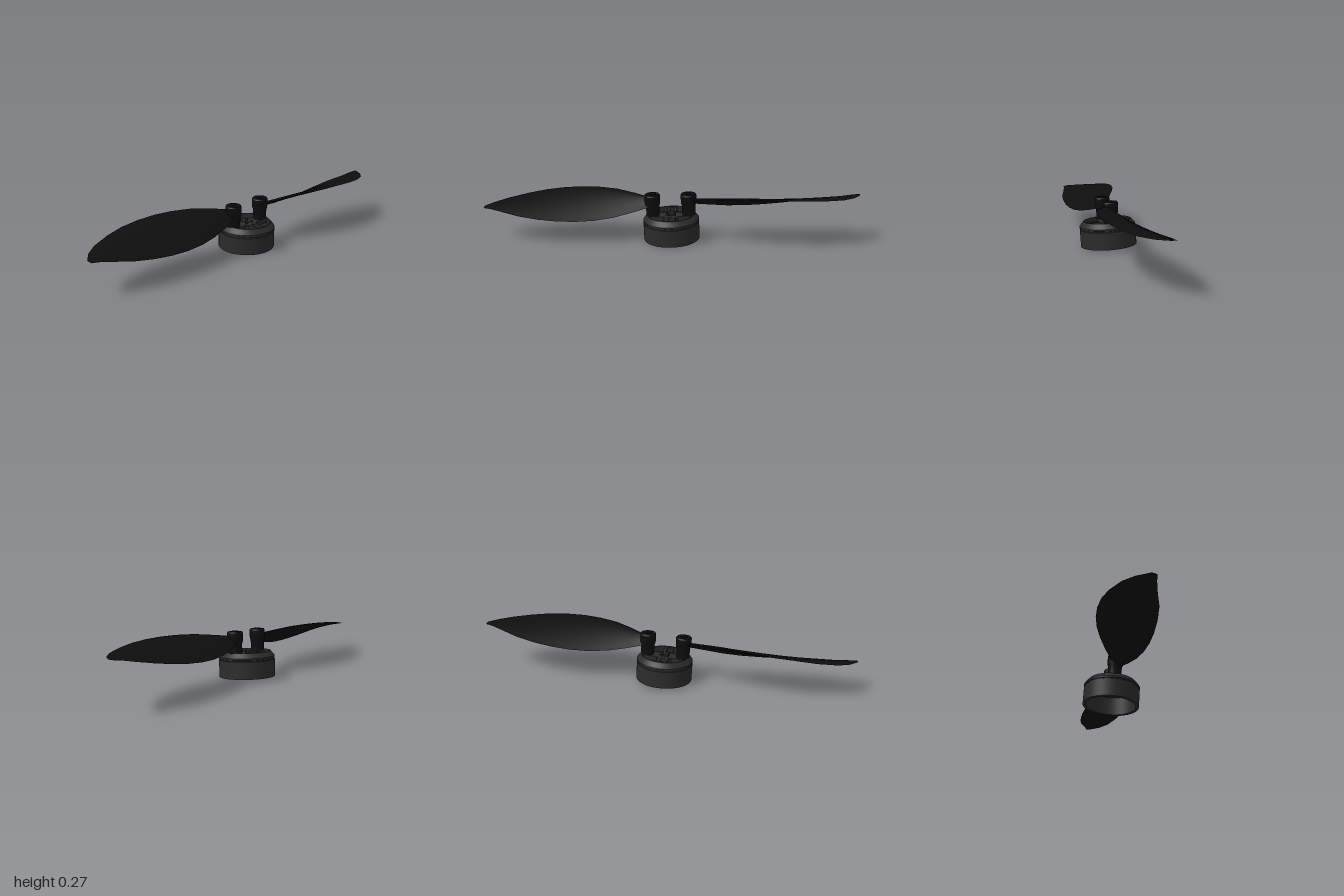
import * as THREE from 'three';
import { toCreasedNormals } from 'three/addons/utils/BufferGeometryUtils.js';

const bellMat = new THREE.MeshStandardMaterial({ color: 0x2b2b2b });
const bladeMat = new THREE.MeshStandardMaterial({ color: 0x0e0e0e });

function addMesh(parent, name, geometry, material, x = 0, y = 0, z = 0) {
  const mesh = new THREE.Mesh(geometry, material);
  mesh.name = name;
  mesh.position.set(x, y, z);
  parent.add(mesh);
  return mesh;
}

function lathe(profile, segments) {
  const points = profile.map(([r, y]) => new THREE.Vector2(r, y));
  return toCreasedNormals(new THREE.LatheGeometry(points, segments), 0.5);
}

// Cross of four arms with slots in the side arms and a shaft hole
function spokeGeometry() {
  const corner = [[0.126, 0.026], [0.046, 0.026], [0.034, 0.04], [0.034, 0.126]];
  const quads = [
    corner,
    corner.map(([x, y]) => [-x, y]).reverse(),
    corner.map(([x, y]) => [-x, -y]),
    corner.map(([x, y]) => [x, -y]).reverse(),
  ];
  const shape = new THREE.Shape(quads.flat().map(([x, y]) => new THREE.Vector2(x, y)));
  for (const s of [-1, 1]) {
    const slot = new THREE.Path();
    slot.absarc(s * 0.055, 0, 0.011, s > 0 ? Math.PI / 2 : -Math.PI / 2, s > 0 ? Math.PI * 1.5 : Math.PI / 2);
    slot.lineTo(s * 0.11, s * -0.011);
    slot.lineTo(s * 0.11, s * 0.011);
    shape.holes.push(slot);
  }
  const shaft = new THREE.Path();
  shaft.absarc(0, 0, 0.013, 0, Math.PI * 2);
  shape.holes.push(shaft);
  const geometry = new THREE.ExtrudeGeometry(shape, { depth: 0.024, bevelEnabled: false, curveSegments: 10 });
  return geometry.rotateX(-Math.PI / 2);
}

// Blade cross-sections: z, left edge x and y, right edge x and y, thickness
const SECTIONS = [
  [0.10, -0.022, 0.215, 0.022, 0.185, 0.022],
  [0.14, -0.040, 0.225, 0.036, 0.177, 0.020],
  [0.20, -0.068, 0.235, 0.057, 0.165, 0.019],
  [0.30, -0.106, 0.248, 0.085, 0.148, 0.018],
  [0.40, -0.132, 0.252, 0.106, 0.140, 0.017],
  [0.50, -0.146, 0.252, 0.119, 0.140, 0.016],
  [0.60, -0.148, 0.248, 0.124, 0.146, 0.014],
  [0.70, -0.138, 0.241, 0.122, 0.157, 0.012],
  [0.80, -0.112, 0.230, 0.112, 0.172, 0.010],
  [0.90, -0.068, 0.219, 0.085, 0.190, 0.008],
  [0.96, -0.020, 0.213, 0.072, 0.202, 0.006],
  [1.00, 0.035, 0.210, 0.067, 0.207, 0.004],
];

function bladeGeometry() {
  const N = 10, ring = 2 * N;
  const positions = [], index = [];
  for (const [z, xl, yl, xr, yr, thick] of SECTIONS) {
    for (let j = 0; j < ring; j++) {
      const upper = j <= N;
      const t = upper ? j / N : (ring - j) / N;
      // Airfoil: full near the leading edge, thin behind, slightly arched
      const half = thick * Math.sqrt(t) * (1 - t) * 1.3;
      const arch = 0.035 * (xr - xl) * 4 * t * (1 - t);
      positions.push(
        xl + (xr - xl) * t,
        yl + (yr - yl) * t + arch + (upper ? half : -half),
        z,
      );
    }
  }
  const last = SECTIONS.length - 1;
  for (let i = 0; i < last; i++) {
    for (let j = 0; j < ring; j++) {
      const k = (j + 1) % ring;
      const a = i * ring + j, b = i * ring + k, c = a + ring, d = b + ring;
      index.push(a, c, b, b, c, d);
    }
  }
  // Closed tip and root
  for (let j = 1; j < ring - 1; j++) {
    index.push(last * ring, last * ring + j + 1, last * ring + j, 0, j, j + 1);
  }
  const geometry = new THREE.BufferGeometry();
  geometry.setAttribute('position', new THREE.Float32BufferAttribute(positions, 3));
  geometry.setIndex(index);
  return toCreasedNormals(geometry, 0.9);
}

export function createModel() {
  const model = new THREE.Group();
  model.name = 'propellerAndMotor';

  // Hollow motor bell with a groove and a bevelled shoulder
  const bell = new THREE.Group();
  bell.name = 'motorBell';
  model.add(bell);
  addMesh(bell, 'bellRing', lathe([
    [0.132, 0], [0.15, 0], [0.15, 0.092], [0.146, 0.094], [0.146, 0.099], [0.15, 0.101],
    [0.15, 0.11], [0.128, 0.136], [0.122, 0.136], [0.122, 0.104], [0.132, 0.1], [0.132, 0],
  ], 56), bellMat);
  addMesh(bell, 'spokes', spokeGeometry(), bellMat, 0, 0.106, 0);
  const bolt = new THREE.CylinderGeometry(0.006, 0.006, 0.014, 10);
  for (const x of [-1, 1]) {
    for (const z of [-1, 1]) addMesh(bell, 'hubBolt', bolt, bellMat, x * 0.019, 0.135, z * 0.019);
  }

  // Two identical blades on posts, half a turn apart
  const post = lathe([
    [0, 0.125], [0.034, 0.125], [0.037, 0.185], [0.041, 0.195],
    [0.042, 0.24], [0.038, 0.247], [0, 0.247],
  ], 24);
  const screw = new THREE.CylinderGeometry(0.018, 0.018, 0.006, 16);
  const blade = bladeGeometry();
  for (let i = 0; i < 2; i++) {
    const arm = new THREE.Group();
    arm.name = i ? 'rearArm' : 'frontArm';
    arm.rotation.y = i * Math.PI;
    addMesh(arm, 'post', post, bladeMat, 0, 0, 0.097);
    addMesh(arm, 'postScrew', screw, bladeMat, 0, 0.248, 0.097);
    addMesh(arm, 'blade', blade, bladeMat);
    model.add(arm);
  }

  // Slight lean of the whole assembly
  model.rotation.set(0.0375, 0, -0.06);
  model.position.set(-0.007, 0.0106, -0.0075);
  const root = new THREE.Group();
  root.name = 'model';
  root.add(model);
  return root;
}
